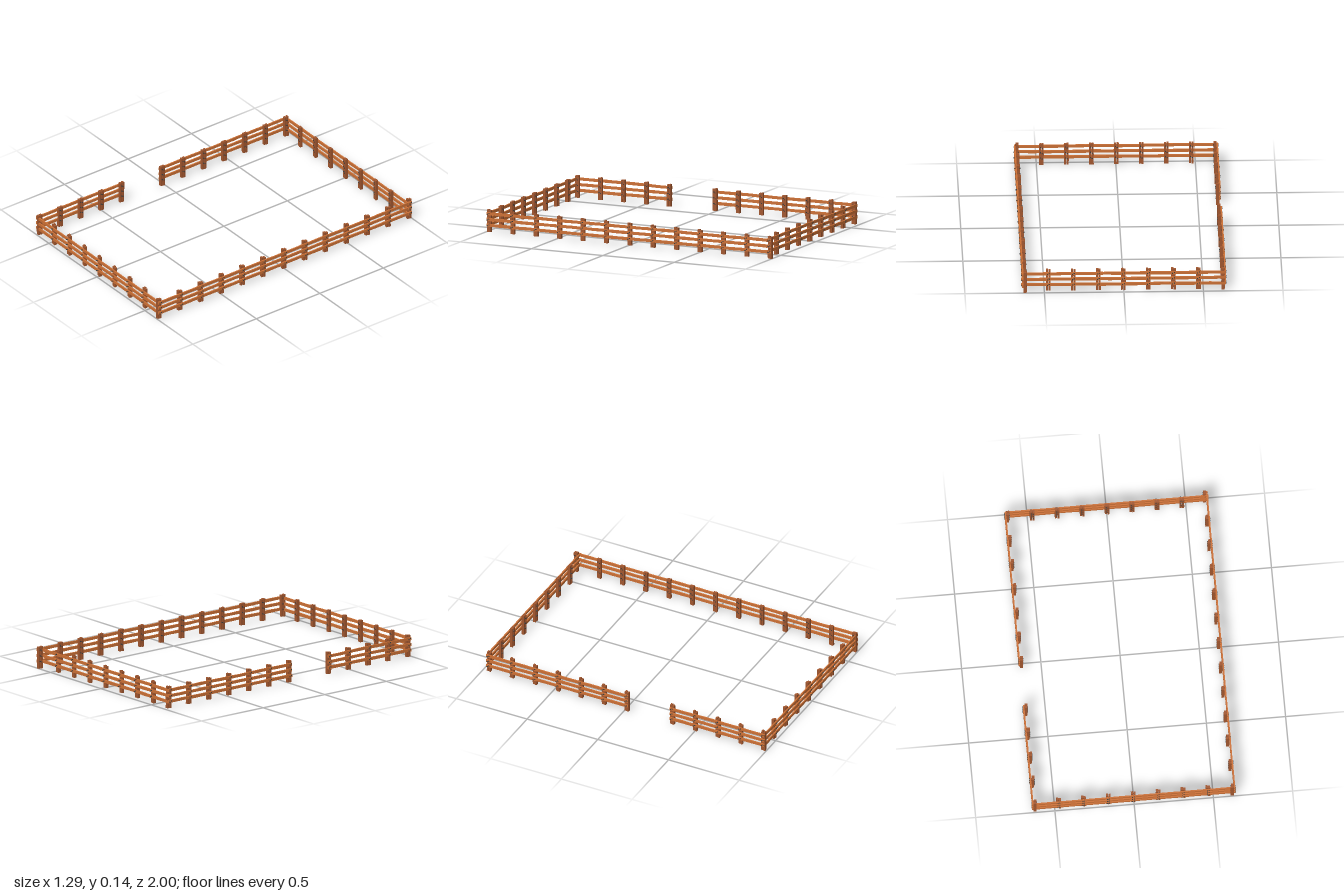
import * as THREE from 'three';

const mat = (name, color) => Object.assign(new THREE.MeshStandardMaterial({ color, flatShading: true }), { name });

export function createModel() {
  const railWood = mat('rail wood', 0xcc7035);
  const postWood = mat('post wood', 0xa2572f);
  const iron = mat('dark iron', 0x3a3d3f);

  // small seeded random, centred on zero
  let seed = 7;
  const jitter = (amount) => {
    seed = (seed * 16807) % 2147483647;
    return (seed / 2147483647 - 0.5) * 2 * amount;
  };

  // roughly hewn board: each ring of corners along its length is nudged together
  function board(length, height, depth, wobble) {
    const g = new THREE.BoxGeometry(length, height, depth, 4, 1, 1);
    const nudges = Array.from({ length: 5 }, () => [jitter(wobble), jitter(wobble)]);
    const p = g.attributes.position;
    for (let i = 0; i < p.count; i++) {
      const ring = Math.round((p.getX(i) / length + 0.5) * 4);
      p.setY(i, p.getY(i) + nudges[ring][p.getY(i) > 0 ? 0 : 1]);
    }
    g.computeVertexNormals();
    return g;
  }

  const add = (parent, name, geometry, material, x, y, z) => {
    const m = new THREE.Mesh(geometry, material);
    m.name = name;
    m.position.set(x, y, z);
    parent.add(m);
    return m;
  };

  const railHeights = [0.044, 0.081, 0.118];
  const boltGeo = new THREE.CylinderGeometry(0.004, 0.004, 0.034, 6).rotateX(Math.PI / 2);

  // post of two upright stakes side by side, just inside the rails, bolted to each rail
  function post(parent, x) {
    for (const s of [-1, 1]) {
      const height = s < 0 ? 0.143 : 0.14;
      const geo = board(height, 0.0135, 0.019, 0.0007).rotateZ(Math.PI / 2);
      add(parent, 'postStake', geo, postWood, x + s * 0.0076, height / 2, -0.014 + s * 0.0015);
      for (const y of railHeights) add(parent, 'bolt', boltGeo, iron, x + s * 0.0055, y + s * 0.003, -0.0095);
    }
  }

  // one straight fence: local x runs along it, local +z faces outwards
  function fence(name, from, to, spans, endPosts = true) {
    const g = new THREE.Group();
    g.name = name;
    const step = (to - from) / spans;
    for (let i = 0; i <= spans; i++) {
      const x = from + i * step;
      if (endPosts || (i > 0 && i < spans)) post(g, x);
      if (i === spans) continue;
      for (const y of railHeights) {
        // rail board reaching slightly past both posts
        const rail = add(g, 'rail', board(step + 0.026, 0.018, 0.009, 0.001), railWood,
          x + step / 2, y + jitter(0.001), jitter(0.0005));
        rail.rotation.z = jitter(0.005);
      }
    }
    return g;
  }

  const model = new THREE.Group();
  model.name = 'paddockFence';
  const place = (f, x, z, turn) => {
    f.position.set(x, 0, z);
    f.rotation.y = turn;
    model.add(f);
  };

  // side fences own the corner posts; the right side has a gateway gap
  place(fence('frontFence', -0.632, 0.625, 8, false), 0, 0.989, 0);
  place(fence('backFence', -0.632, 0.627, 8, false), 0, -0.971, Math.PI);
  place(fence('leftFence', -0.982, 0.987, 12), 0.635, 0, Math.PI / 2);
  place(fence('rightFenceRear', -0.96, 0.015, 6), -0.638, 0, -Math.PI / 2);
  place(fence('rightFenceFront', 0.336, 0.98, 4), -0.638, 0, -Math.PI / 2);
  return model;
}
